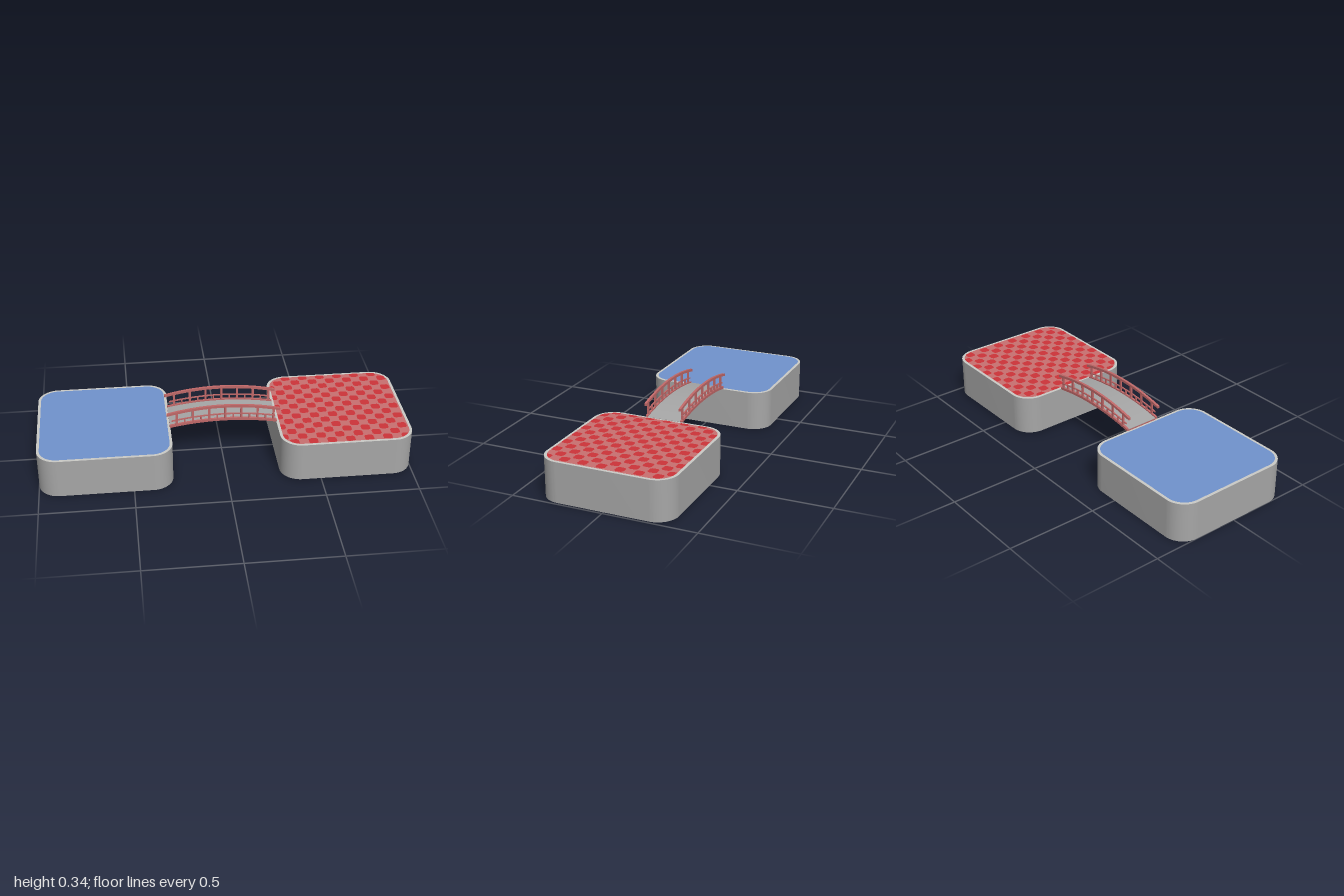
import * as THREE from 'three';
import { toCreasedNormals, mergeGeometries } from 'three/addons/utils/BufferGeometryUtils.js';

const mat = (name, color, side = THREE.FrontSide) => {
  const m = new THREE.MeshStandardMaterial({ color, side });
  m.name = name;
  return m;
};

// Rounded square outline centred on the origin
function roundedSquare(h, r) {
  const s = new THREE.Shape();
  s.absarc(h - r, h - r, r, 0, Math.PI / 2);
  s.absarc(r - h, h - r, r, Math.PI / 2, Math.PI);
  s.absarc(r - h, r - h, r, Math.PI, Math.PI * 1.5);
  s.absarc(h - r, r - h, r, Math.PI * 1.5, Math.PI * 2);
  s.closePath();
  return s;
}

// Pull a point inside a rounded square
function clampInside(x, y, h, r) {
  const cx = THREE.MathUtils.clamp(x, r - h, h - r);
  const cy = THREE.MathUtils.clamp(y, r - h, h - r);
  const d = Math.hypot(x - cx, y - cy);
  const k = d > r ? r / d : 1;
  return new THREE.Vector2(cx + (x - cx) * k, cy + (y - cy) * k);
}

// Arched bar along x: top height at the middle, drop at the ends
const archY = (x, top, half, sag) => top - sag * (x / half) ** 2;
function archBar(half, top, thick, sag, depth) {
  const n = 20, pts = [];
  for (let i = 0; i <= n; i++) {
    const x = -half + (2 * half * i) / n;
    pts.push(new THREE.Vector2(x, archY(x, top - thick, half, sag)));
  }
  for (let i = n; i >= 0; i--) {
    const x = -half + (2 * half * i) / n;
    pts.push(new THREE.Vector2(x, archY(x, top, half, sag)));
  }
  const g = new THREE.ExtrudeGeometry(new THREE.Shape(pts), { depth, bevelEnabled: false });
  g.translate(0, 0, -depth / 2);
  return toCreasedNormals(g, 0.5);
}

export function createModel() {
  const model = new THREE.Group();
  model.name = 'islandsWithBridge';
  const stone = mat('stone grey', 0xa6a6a6);
  const rimMat = mat('pale rim', 0xcacac6);
  const blue = mat('blue surface', 0x7092cc);
  const rose = mat('rose surface', 0xc87070);
  const red = mat('red check', 0xcc3439);
  const wood = mat('bridge red', 0xc06868);

  const add = (parent, name, geo, material, x = 0, y = 0, z = 0) => {
    const m = new THREE.Mesh(geo, material);
    m.name = name;
    m.position.set(x, y, z);
    parent.add(m);
    return m;
  };
  const flat = (shape) => new THREE.ShapeGeometry(shape, 12).rotateX(-Math.PI / 2);

  // Platforms with a pale rim and an inset coloured surface
  const H = 0.3565, R = 0.11, inH = 0.342, inR = 0.096, height = 0.217;
  function platform(name, x, y, surface) {
    const g = new THREE.Group();
    g.name = name;
    g.position.set(x, y, 0);
    const body = new THREE.ExtrudeGeometry(roundedSquare(H, R), { depth: height, bevelEnabled: false, curveSegments: 12 });
    body.rotateX(-Math.PI / 2);
    add(g, 'platformBody', toCreasedNormals(body, 0.6), stone);
    add(g, 'platformRim', flat(roundedSquare(H, R)), rimMat, 0, height + 0.0008);
    add(g, 'platformSurface', flat(roundedSquare(inH, inR)), surface, 0, height + 0.0016);
    model.add(g);
    return g;
  }
  platform('bluePlatform', -0.6435, 0, blue);
  const checked = platform('checkedPlatform', 0.6435, 0.0075, rose);

  // Checks with softened corners, trimmed to the surface outline
  const checks = [];
  const a = 0.0245, c = 0.015;
  const corners = [[a, -c], [a, c], [c, a], [-c, a], [-a, c], [-a, -c], [-c, -a], [c, -a]];
  for (let j = 0; j < 14; j++) {
    for (let i = -7; i <= 7; i++) {
      if ((i + j) % 2 === 0) continue;
      const cx = 0.01 + 0.05 * i, cy = 0.33 - 0.05 * j;
      const mid = clampInside(cx, cy, inH, inR);
      if (Math.hypot(mid.x - cx, mid.y - cy) > 0.015) continue;
      const pts = corners.map(([dx, dy]) => clampInside(cx + dx, cy + dy, inH, inR));
      checks.push(flat(new THREE.Shape(pts)));
    }
  }
  add(checked, 'surfaceChecks', mergeGeometries(checks), red, 0, height + 0.0024);

  // Arched walkway
  const bridge = new THREE.Group();
  bridge.name = 'bridge';
  model.add(bridge);
  add(bridge, 'bridgeUnderside', archBar(0.29, 0.253, 0.008, 0.028, 0.19), wood);
  add(bridge, 'bridgeDeck', archBar(0.29, 0.2555, 0.0025, 0.028, 0.19), stone);

  // Railings: beam, thin middle rail, handrail, posts and short pickets
  for (const side of [-1, 1]) {
    const rail = new THREE.Group();
    rail.name = side > 0 ? 'frontRailing' : 'backRailing';
    rail.position.z = side * 0.099;
    bridge.add(rail);
    add(rail, 'lowerBeam', archBar(0.29, 0.262, 0.014, 0.028, 0.012), wood);
    add(rail, 'middleRail', archBar(0.28, 0.29, 0.006, 0.028, 0.007), wood);
    add(rail, 'handrail', archBar(0.305, 0.343, 0.014, 0.037, 0.013), wood);
    const upright = (name, x, w, topY) => {
      const y0 = archY(x, 0.255, 0.29, 0.028);
      add(rail, name, new THREE.BoxGeometry(w, topY - y0, 0.009), wood, x, (topY + y0) / 2);
    };
    for (let i = 0; i < 7; i++) {
      const x = -0.252 + 0.0873 * i;
      upright('post', x, 0.012, archY(x, 0.335, 0.305, 0.037));
      if (i < 6) upright('picket', x + 0.0437, 0.008, archY(x + 0.0437, 0.287, 0.28, 0.028));
    }
  }
  return model;
}
